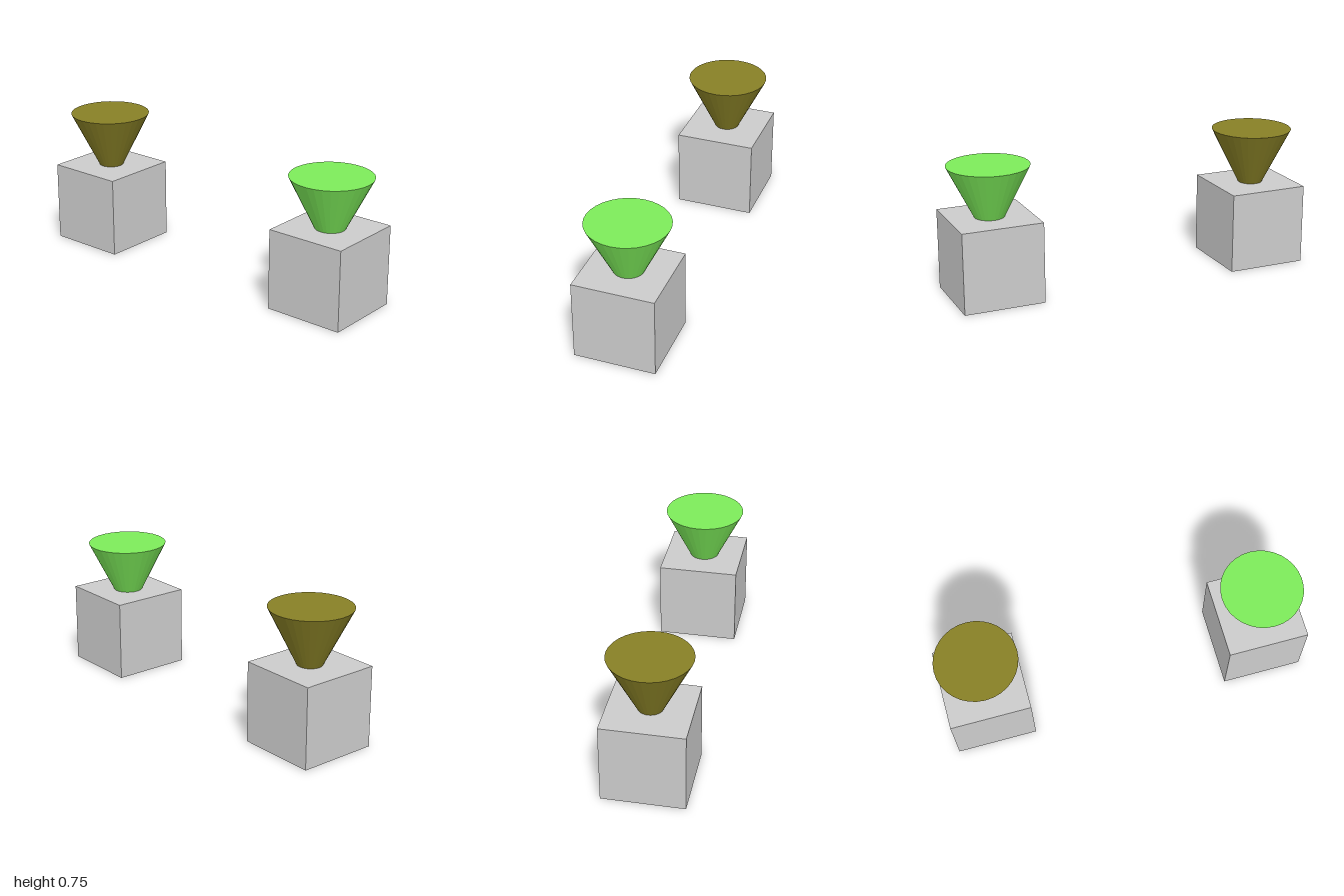
import * as THREE from 'three';

const SIZE = 0.444;

// A cube pedestal with an inverted cone sunk point-down into its top
function createStand(name, x, coneTop, color) {
  const stand = new THREE.Group();
  stand.name = name;
  stand.position.x = x;

  const base = new THREE.Mesh(
    new THREE.BoxGeometry(SIZE, SIZE, SIZE),
    new THREE.MeshStandardMaterial({ color: 0xcccccc })
  );
  base.name = 'base';
  base.position.y = SIZE / 2;

  const cone = new THREE.Mesh(
    new THREE.ConeGeometry(SIZE / 2, SIZE, 32),
    new THREE.MeshStandardMaterial({ color, flatShading: true })
  );
  cone.name = 'cone';
  cone.rotation.x = Math.PI;
  cone.position.y = coneTop - SIZE / 2;

  stand.add(base, cone);
  return stand;
}

export function createModel() {
  const model = new THREE.Group();
  model.name = 'coneStands';
  const x = 1 - SIZE / 2;
  model.add(
    createStand('leftStand', x, 0.724, 0x7deb5a),
    createStand('rightStand', -x, 0.752, 0x888026)
  );
  return model;
}
